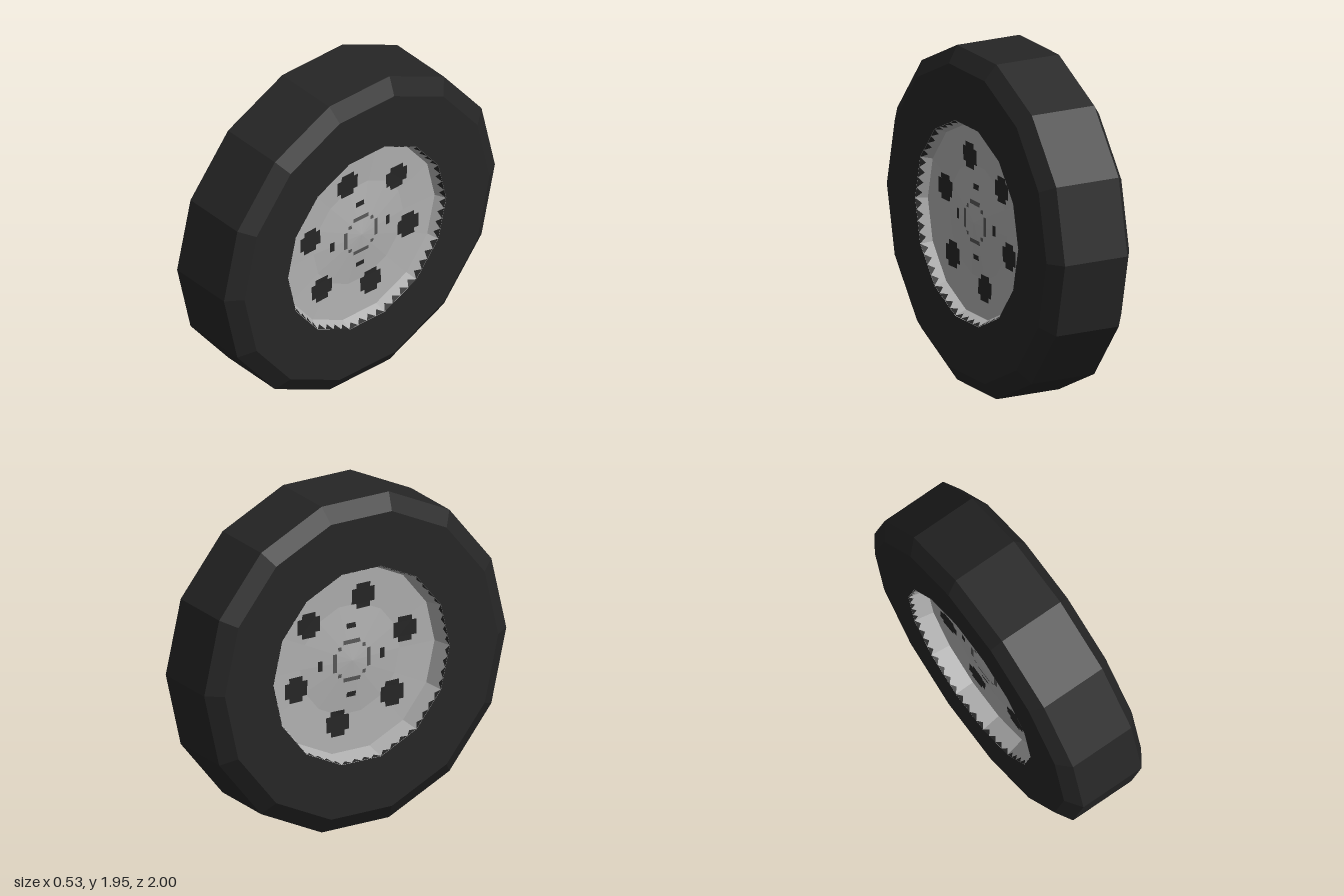
import * as THREE from 'three';

const SIDES = 14;
const AXLE_Y = Math.cos(Math.PI / SIDES);

const material = (name, color) =>
  new THREE.MeshStandardMaterial({ name, color, flatShading: true, side: THREE.DoubleSide });

// Lathe turned so that its axis lies along x; points are [radius, x]
function turned(points) {
  const g = new THREE.LatheGeometry(points.map(([r, x]) => new THREE.Vector2(r, x)), SIDES);
  return g.rotateZ(-Math.PI / 2);
}

// Outline of a plus sign: overall size w, arm width a
function plus(w, a) {
  const h = w / 2, k = a / 2;
  return [[-k, -h], [k, -h], [k, -k], [h, -k], [h, k], [k, k],
    [k, h], [-k, h], [-k, k], [-h, k], [-h, -k], [-k, -k]];
}

const rect = (w, h) => [[-w / 2, -h / 2], [w / 2, -h / 2], [w / 2, h / 2], [-w / 2, h / 2]];

export function createModel() {
  const rubber = material('rubber black', 0x262626);
  const metal = material('rim grey', 0xb0b0b0);
  const groove = material('groove grey', 0x575757);

  const model = new THREE.Group();
  model.name = 'wheel';
  const add = (parent, name, geometry, mat) => {
    const m = new THREE.Mesh(geometry, mat);
    m.name = name;
    parent.add(m);
  };

  // Tyre with bevelled shoulders and flat sidewalls
  add(model, 'tyre', turned([[0.585, -0.265], [0.905, -0.265], [1, -0.2],
    [1, 0.2], [0.905, 0.265], [0.585, 0.265]]), rubber);

  // One rim face per side; the right (-x) face is set deeper
  for (const [s, shift, teethDepth] of [[1, 0, 0.5], [-1, -0.047, 0.22]]) {
    const rim = new THREE.Group();
    rim.name = s > 0 ? 'leftRim' : 'rightRim';
    model.add(rim);

    const edge = 0.2 + shift, valley = 0.19 + shift, crown = 0.22 + shift;
    const height = (r) => r < 0.33
      ? THREE.MathUtils.lerp(crown, valley, r / 0.33)
      : THREE.MathUtils.lerp(valley, edge, (r - 0.33) / 0.225);
    const profile = (pts) => {
      const p = pts.map(([r, x]) => [r, s * x]);
      return turned(s > 0 ? p : p.reverse());
    };

    add(rim, 'rimBarrel', profile([[0.585, 0.265], [0.555, edge]]), metal);
    add(rim, 'rimDisc', profile([[0.555, edge], [0.33, valley], [0, crown]]), metal);

    // Dark teeth where the tyre bead overlaps the barrel
    const corner = (i, r) => {
      const a = (i / SIDES) * Math.PI * 2;
      return new THREE.Vector2(Math.cos(a) * r, Math.sin(a) * r);
    };
    const rTip = THREE.MathUtils.lerp(0.583, 0.553, teethDepth);
    const xTip = THREE.MathUtils.lerp(0.265, edge, teethDepth);
    const teeth = [];
    for (let i = 0; i < SIDES; i++) {
      for (let j = 0; j < 4; j++) {
        const at = (r, t) => corner(i, r).lerp(corner(i + 1, r), t);
        const a = at(0.583, j / 4), b = at(0.583, (j + 1) / 4), c = at(rTip, (j + 0.5) / 4);
        teeth.push(s * 0.265, a.y, a.x, s * 0.265, b.y, b.x, s * xTip, c.y, c.x);
      }
    }
    const bead = new THREE.BufferGeometry();
    bead.setAttribute('position', new THREE.Float32BufferAttribute(teeth, 3));
    bead.computeVertexNormals();
    add(rim, 'beadTeeth', bead, rubber);

    // Flat marking laid onto the rim surface, centred at (z, y)
    const plate = (name, outline, z, y, mat) => {
      const shape = new THREE.Shape(outline.map(([u, v]) => new THREE.Vector2(u + z, v + y)));
      const g = new THREE.ShapeGeometry(shape);
      const p = g.attributes.position;
      for (let i = 0; i < p.count; i++) {
        const u = p.getX(i), v = p.getY(i);
        p.setXYZ(i, s * (height(Math.hypot(u, v)) + 0.004), v, u);
      }
      g.computeVertexNormals();
      add(rim, name, g, mat);
    };

    // Six vent holes
    for (let i = 0; i < 6; i++) {
      const a = THREE.MathUtils.degToRad(17 + i * 60);
      plate('ventHole', plus(0.15, 0.09), Math.cos(a) * 0.377, Math.sin(a) * 0.377, rubber);
    }

    // Four bolt slots and the broken octagonal groove of the hub cap
    for (const k of [-1, 1]) {
      plate('boltSlot', rect(0.06, 0.03), 0, k * 0.205, rubber);
      plate('boltSlot', rect(0.03, 0.06), k * 0.205, 0, rubber);
      plate('hubGroove', rect(0.11, 0.024), 0, k * 0.112, groove);
      plate('hubGroove', rect(0.024, 0.11), k * 0.112, 0, groove);
      for (const m of [-1, 1]) plate('hubGroove', rect(0.022, 0.022), k * 0.08, m * 0.08, groove);
    }
  }

  for (const part of model.children) part.position.y = AXLE_Y;
  return model;
}
